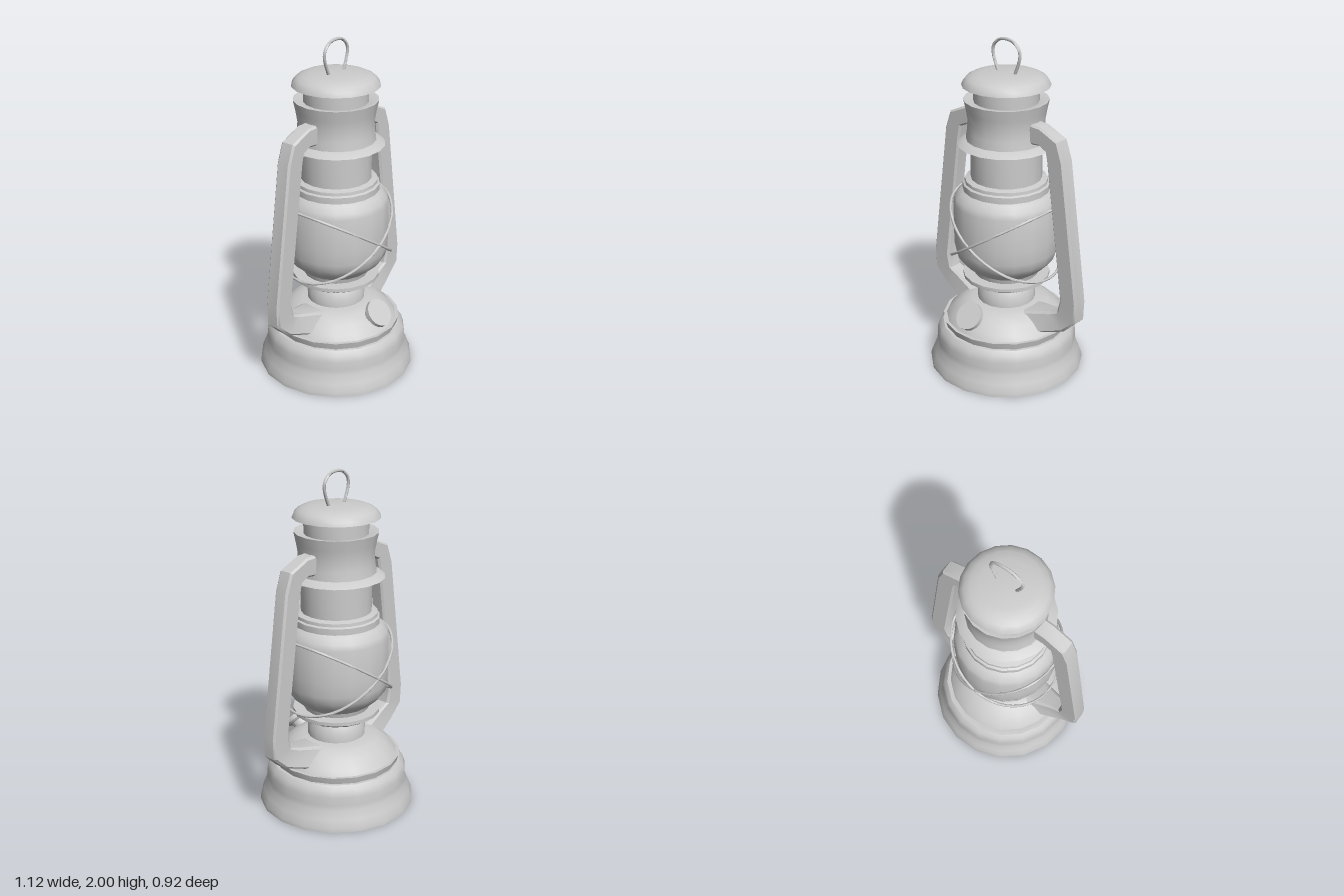
import * as THREE from 'three';
import { toCreasedNormals } from 'three/addons/utils/BufferGeometryUtils.js';

const SIDES = 18;
const material = new THREE.MeshStandardMaterial({ color: 0xcccccc, side: THREE.DoubleSide });

function part(name, geometry, crease = 0.6) {
  const mesh = new THREE.Mesh(toCreasedNormals(geometry, crease), material);
  mesh.name = name;
  return mesh;
}

// Turned part from [radius, height] pairs, bottom to top
function turned(name, profile, sides = SIDES) {
  const points = profile.map(([r, y]) => new THREE.Vector2(r, y));
  return part(name, new THREE.LatheGeometry(points, sides, Math.PI / sides));
}

// Wire bent through points
function wire(name, points, radius, closed = false, steps = 48) {
  const curve = new THREE.CatmullRomCurve3(points, closed, 'centripetal');
  return part(name, new THREE.TubeGeometry(curve, steps, radius, 6, closed), 1.2);
}

// Side tube: chamfered sections between an outer and an inner outline
// station: [outerX, outerY, innerX, innerY, halfWidth]
function sideTube(name, sign) {
  const stations = [
    [0.19, 1.57, 0.19, 1.45, 0.047],
    [0.275, 1.565, 0.27, 1.457, 0.047],
    [0.40, 1.51, 0.315, 1.435, 0.047],
    [0.44, 1.40, 0.328, 1.37, 0.047],
    [0.558, 0.57, 0.44, 0.56, 0.047],
    [0.553, 0.45, 0.42, 0.48, 0.047],
    [0.47, 0.367, 0.36, 0.458, 0.05],
    [0.33, 0.322, 0.19, 0.42, 0.093],
  ];
  const section = [[0, 0.75], [0.1, 1], [0.9, 1], [1, 0.75], [1, -0.75], [0.9, -1], [0.1, -1], [0, -0.75]];
  const n = section.length;
  const positions = [];
  const index = [];
  for (const [ox, oy, ix, iy, w] of stations) {
    for (const [t, s] of section) {
      positions.push(sign * (ox + (ix - ox) * t), oy + (iy - oy) * t, s * w);
    }
  }
  const tri = (a, b, c) => index.push(...(sign > 0 ? [a, b, c] : [a, c, b]));
  for (let i = 0; i < stations.length - 1; i++) {
    for (let j = 0; j < n; j++) {
      const a = i * n + j;
      const b = i * n + (j + 1) % n;
      tri(a, a + n, b);
      tri(b, a + n, b + n);
    }
  }
  const last = (stations.length - 1) * n;
  for (let j = 1; j < n - 1; j++) {
    tri(0, j, j + 1);
    tri(last, last + j + 1, last + j);
  }
  const geometry = new THREE.BufferGeometry();
  geometry.setAttribute('position', new THREE.Float32BufferAttribute(positions, 3));
  geometry.setIndex(index);
  return part(name, geometry, 0.5);
}

export function createModel() {
  const lantern = new THREE.Group();
  lantern.name = 'lantern';

  // Fuel tank and burner
  lantern.add(
    turned('tankBase', [[0, 0], [0.465, 0], [0.463, 0.025], [0.445, 0.07], [0.425, 0.12], [0.42, 0.15],
      [0.42, 0.2], [0.408, 0.24], [0.385, 0.264], [0.3, 0.268]]),
    turned('tankBand', [[0.368, 0.26], [0.38, 0.305], [0.35, 0.305]]),
    turned('tankDome', [[0.365, 0.3], [0.342, 0.335], [0.3, 0.375], [0.25, 0.41], [0.2, 0.424], [0.1, 0.43]]),
    turned('burnerNeck', [[0.172, 0.415], [0.172, 0.475], [0.155, 0.51], [0.135, 0.55], [0.13, 0.57]]),
    turned('globePlate', [[0.1, 0.548], [0.215, 0.55], [0.25, 0.573], [0.257, 0.575], [0.257, 0.597], [0.1, 0.6]]),
  );

  // Globe, chimney and hood
  lantern.add(
    turned('globe', [[0.19, 0.59], [0.2, 0.625], [0.225, 0.645], [0.265, 0.68], [0.293, 0.72], [0.305, 0.77],
      [0.307, 0.85], [0.307, 1.05], [0.297, 1.085], [0.27, 1.115], [0.25, 1.13]]),
    turned('globeCollar', [[0.252, 1.12], [0.252, 1.165], [0.24, 1.172], [0.238, 1.19], [0.2, 1.2]]),
    turned('chimney', [[0.205, 1.17], [0.205, 1.44]]),
    turned('hoodFlange', [[0.205, 1.402], [0.28, 1.402], [0.24, 1.428], [0.22, 1.432]]),
    turned('hood', [[0.23, 1.425], [0.222, 1.48], [0.218, 1.54], [0.228, 1.6], [0.241, 1.662], [0.225, 1.662],
      [0.18, 1.65]]),
    turned('vent', [[0.185, 1.64], [0.185, 1.75]]),
    turned('cap', [[0.18, 1.742], [0.25, 1.742], [0.24, 1.765], [0.222, 1.785], [0.19, 1.8], [0.14, 1.81], [0, 1.814]]),
  );

  // Side tubes
  lantern.add(sideTube('leftSideTube', 1), sideTube('rightSideTube', -1));

  // Crossed guard wires around the globe
  for (const sign of [1, -1]) {
    const ring = [];
    for (let i = 0; i < 24; i++) {
      const a = (i / 24) * Math.PI * 2;
      const c = Math.cos(a);
      ring.push(new THREE.Vector3(0.322 * c, 0.857 + sign * 0.213 * c, 0.326 * Math.sin(a)));
    }
    lantern.add(wire(sign > 0 ? 'guardWireLeft' : 'guardWireRight', ring, 0.008, true));
  }

  // Carrying loop with straight bends
  const loop = new THREE.CurvePath();
  const half = [[0.055, 1.79], [0.097, 1.91], [0.088, 1.955], [0.04, 1.991]];
  const bends = [...half.map(([x, y]) => [-x, y]), ...half.reverse()].map(([x, y]) => new THREE.Vector3(x, y, 0));
  lantern.add(wire('carryLoop', bends, 0.009, false, 36));

  // Filler cap tilted out of the tank's front
  const filler = new THREE.Group();
  filler.name = 'fillerCap';
  filler.add(
    turned('fillerNeck', [[0.055, -0.13], [0.055, -0.05], [0.06, -0.02]], 16),
    turned('fillerLid', [[0, -0.035], [0.07, -0.035], [0.084, -0.025], [0.084, 0], [0, 0]], 16),
  );
  filler.position.set(0, 0.422, 0.333);
  filler.rotation.x = 0.83;
  lantern.add(filler);

  return lantern;
}
